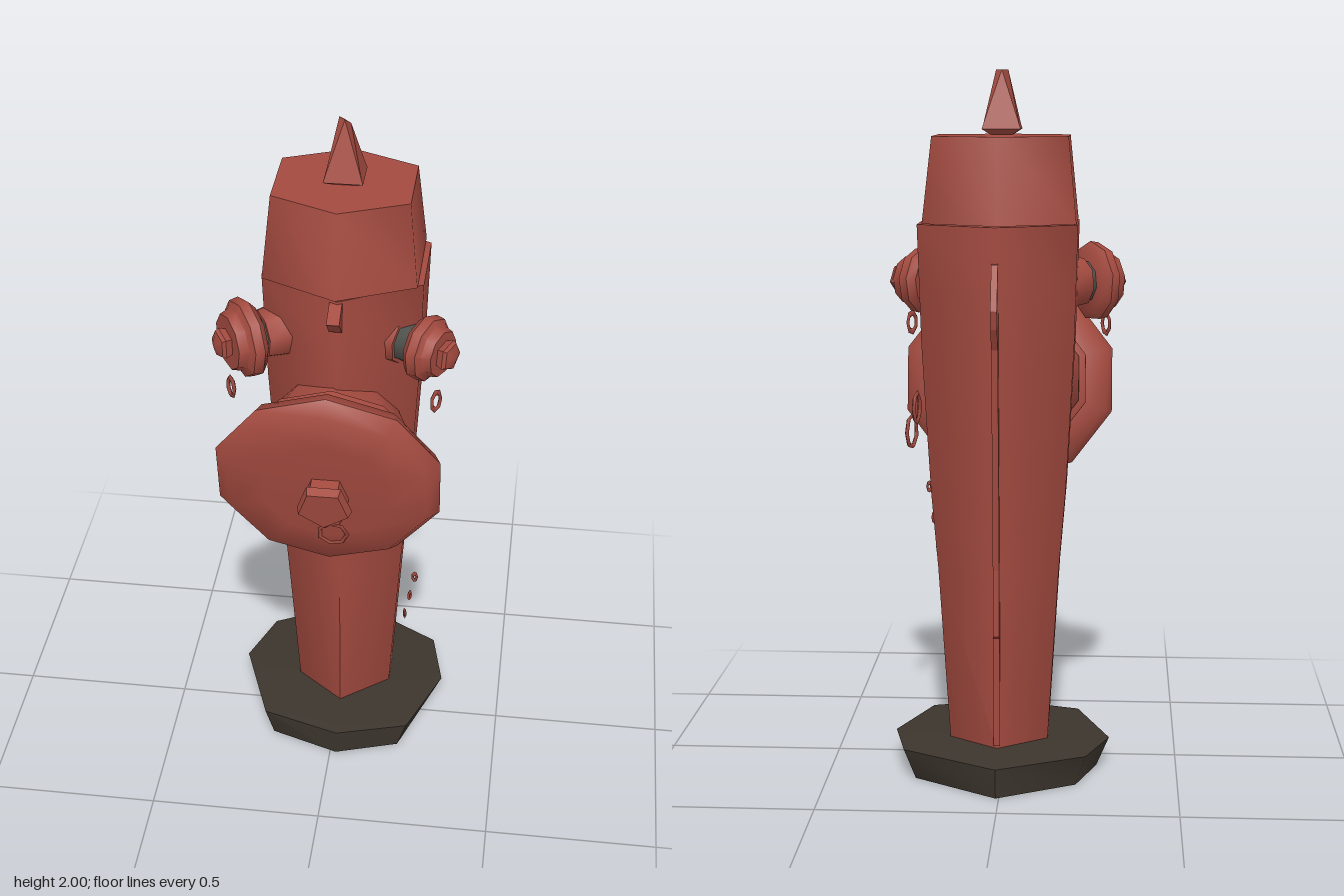
import * as THREE from 'three';
import { toCreasedNormals } from 'three/addons/utils/BufferGeometryUtils.js';

const red = new THREE.MeshStandardMaterial({ color: 0xa34a3f, name: 'faded red paint' });
const dark = new THREE.MeshStandardMaterial({ color: 0x3c352d, name: 'dark base metal' });
const grey = new THREE.MeshStandardMaterial({ color: 0x4c4e49, name: 'bare grey metal' });

// Closed skin over rings of [x, y, z] points, each running from +z towards +x
function loft(rings, crease = 1.1) {
  const n = rings[0].length, pos = rings.flat(2), idx = [];
  const centre = (ring) => [0, 1, 2].map((k) => ring.reduce((s, p) => s + p[k], 0) / n);
  const last = rings.length - 1, c0 = rings.length * n, c1 = c0 + 1;
  pos.push(...centre(rings[0]), ...centre(rings[last]));
  for (let i = 0; i < n; i++) {
    const k = (i + 1) % n;
    for (let j = 0; j < last; j++) {
      const a = j * n + i, b = j * n + k;
      idx.push(a, b, a + n, b, b + n, a + n);
    }
    idx.push(c0, k, i, c1, last * n + i, last * n + k);
  }
  const g = new THREE.BufferGeometry();
  g.setAttribute('position', new THREE.Float32BufferAttribute(pos, 3));
  g.setIndex(idx);
  return toCreasedNormals(g, crease);
}

// Six-sided ring: height, centre x, half width, front z, back z, side corners' z
const hexRing = (y, x, w, front, back, sideFront, sideBack) => [
  [x, y, front], [x + w, y, sideFront], [x + w, y, sideBack],
  [x, y, back], [x - w, y, sideBack], [x - w, y, sideFront]];

// Turned part whose profile is [distance along y, radius]
function turned(profile, sides, crease) {
  return loft(profile.map(([y, r]) => Array.from({ length: sides }, (_, i) => {
    const a = (i / sides) * Math.PI * 2;
    return [r * Math.sin(a), y, r * Math.cos(a)];
  })), crease);
}

// Upright fin of the given thickness with a [z, y] outline
function fin(points, thickness, x) {
  const shape = new THREE.Shape(points.map(([z, y]) => new THREE.Vector2(z, y)));
  return new THREE.ExtrudeGeometry(shape, { depth: thickness, bevelEnabled: false })
    .rotateY(-Math.PI / 2).translate(x + thickness / 2, 0, 0);
}

function add(parent, name, geometry, material) {
  const m = new THREE.Mesh(geometry, material);
  m.name = name;
  parent.add(m);
  return m;
}

// Group whose y axis points along dir
function aimed(parent, name, at, dir) {
  const g = new THREE.Group();
  g.name = name;
  g.position.set(...at);
  g.quaternion.setFromUnitVectors(new THREE.Vector3(0, 1, 0), new THREE.Vector3(...dir).normalize());
  parent.add(g);
  return g;
}

function link(parent, name, at, r, stretch, turn) {
  const m = add(parent, name, new THREE.TorusGeometry(r, 0.006, 4, 7), red);
  m.position.set(...at);
  m.scale.y = stretch;
  m.rotation.y = turn;
  return m;
}

export function createModel() {
  const model = new THREE.Group();
  model.name = 'hydrant';

  // Base plate, flaring sideways, with a hollow underside
  const outline = [[0.02, 0.23], [0.23, 0.17], [0.32, -0.06], [0.28, -0.24],
    [0.01, -0.395], [-0.24, -0.27], [-0.305, -0.1], [-0.21, 0.16]];
  const plate = (y, sx, sz) => outline.map(([x, z]) => [x * sx, y, (z + 0.08) * sz - 0.08]);
  add(model, 'basePlate', loft([plate(0.03, 0.4, 0.4), plate(0, 0.88, 0.98), plate(0.085, 1, 1),
    plate(0.09, 0.9, 0.9)], 0.9), dark);

  // Six-sided barrel: height, half width, front z, back z
  const barrel = [
    [0.005, 0.13, 0.07, -0.22], [0.09, 0.141, 0.08, -0.23], [0.6, 0.172, 0.1, -0.25],
    [0.82, 0.19, 0.112, -0.265], [1.0, 0.2, 0.15, -0.28], [1.25, 0.213, 0.165, -0.3],
    [1.4, 0.217, 0.165, -0.31], [1.58, 0.222, 0.155, -0.316],
  ].map(([y, w, front, back]) => {
    const spread = 0.045 + 0.045 * y;
    return hexRing(y, 0.014, w, front, back, -0.08 + spread, -0.08 - spread);
  });
  add(model, 'barrel', loft(barrel, 1.2), red);

  // Bonnet and its wedge-shaped finial
  add(model, 'bonnet', loft([hexRing(1.583, 0.008, 0.212, 0.158, -0.318, 0.06, -0.22),
    hexRing(1.82, 0.007, 0.188, 0.11, -0.27, 0.03, -0.19)], 1.2), red);
  const square = (y, s) => [[s, s], [s, -s], [-s, -s], [-s, s]].map(([x, z]) => [0.007 + x, y, -0.077 + z]);
  const ridge = [[0.018, 0.018], [0.001, -0.001], [-0.018, -0.018], [-0.001, 0.001]]
    .map(([x, z]) => [0.007 + x, 2, -0.077 + z]);
  add(model, 'finial', loft([square(1.822, 0.03), square(1.838, 0.054), square(1.85, 0.05), ridge], 0.3), red);

  // Pointed brow below the bonnet, and the seam down the back
  add(model, 'brow', fin([[0.1, 1.45], [0.162, 1.49], [0.2, 1.53], [0.218, 1.545],
    [0.155, 1.572], [0.1, 1.575]], 0.035, 0.01), red);
  add(model, 'backSeam', fin([[-0.2, 0.1], [-0.2, 1.5], [-0.32, 1.48], [-0.345, 1.42], [-0.37, 1.36],
    [-0.36, 1.31], [-0.325, 1.25], [-0.265, 0.62], [-0.268, 0.43], [-0.248, 0.42], [-0.235, 0.1]], 0.018, 0.014), red);

  // Side outlets
  for (const [side, name, at, dir, size, collarEnd] of [
    [1, 'leftOutlet', [0.255, 1.4, 0.07], [0.87, 0, 0.46], 0.095, -0.075],
    [-1, 'rightOutlet', [-0.255, 1.4, 0.08], [-0.83, 0, 0.55], 0.115, -0.05],
  ]) {
    const g = aimed(model, name, at, dir);
    add(g, 'outletNeck', turned([[-0.14, 0.06], [-0.015, 0.06]], 8), grey);
    add(g, 'outletCollar', turned([[-0.15, 0.085], [collarEnd, 0.07]], 8), red);
    add(g, 'outletCap', turned([[-0.035, size * 0.8], [-0.015, size], [0.012, size * 0.96],
      [0.022, size * 0.78], [0.048, size * 0.7]], 9, 0.8), red);
    add(g, 'outletNut', turned([[0.04, 0.036], [0.068, 0.046], [0.078, 0.04], [0.088, 0.012]], 5, 0.6), red);
    link(model, 'capChain', [side * 0.285, 1.27, 0.13], 0.018, 1.6, side * 0.9);
  }

  // Large front outlet, slightly wider than tall and tipped forward
  const front = aimed(model, 'frontOutlet', [0.005, 1.075, 0.31], [0, -0.18, 1]);
  front.scale.x = 1.055;
  add(front, 'frontNeck', turned([[-0.3, 0.16], [-0.17, 0.21], [-0.08, 0.215]], 10), red);
  add(front, 'frontFlange', turned([[-0.165, 0.2], [-0.15, 0.23], [-0.125, 0.23], [-0.115, 0.2]], 10, 0.8), red);
  add(front, 'frontCap', turned([[-0.1, 0.235], [-0.075, 0.29], [-0.035, 0.308], [0.005, 0.275],
    [0.014, 0.17]], 10, 0.9), red);
  add(front, 'frontNut', turned([[0, 0.062], [0.05, 0.062], [0.055, 0.076], [0.082, 0.068]], 5, 0.6), red);

  // Small bare lugs showing behind the front cap
  for (const sx of [-1, 1]) for (const sz of [-1, 1]) {
    const bolt = add(front, 'frontLug', new THREE.BoxGeometry(0.04, 0.03, 0.04), grey);
    bolt.position.set(sx * 0.15, -0.105, sz * 0.15);
  }

  // Hanging links on the front cap and beside it
  link(model, 'frontLoopUpper', [0.02, 0.98, 0.308], 0.025, 1.3, 0).rotation.x = 0.18;
  link(model, 'frontLoopLower', [0.02, 0.91, 0.294], 0.04, 1.0, 0).rotation.x = 0.18;
  link(model, 'sideLoopUpper', [0.27, 1.02, 0.1], 0.025, 1.7, 1.3);
  link(model, 'sideLoopLower', [0.285, 0.95, 0.1], 0.04, 1.2, 1.3);
  for (let i = 0; i < 3; i++) {
    const m = link(model, 'looseLink', [0.25 - i * 0.015, 0.75 - i * 0.09, 0.26 - i * 0.025], 0.01, 2, i);
    m.scale.multiplyScalar(0.6);
  }
  return model;
}
